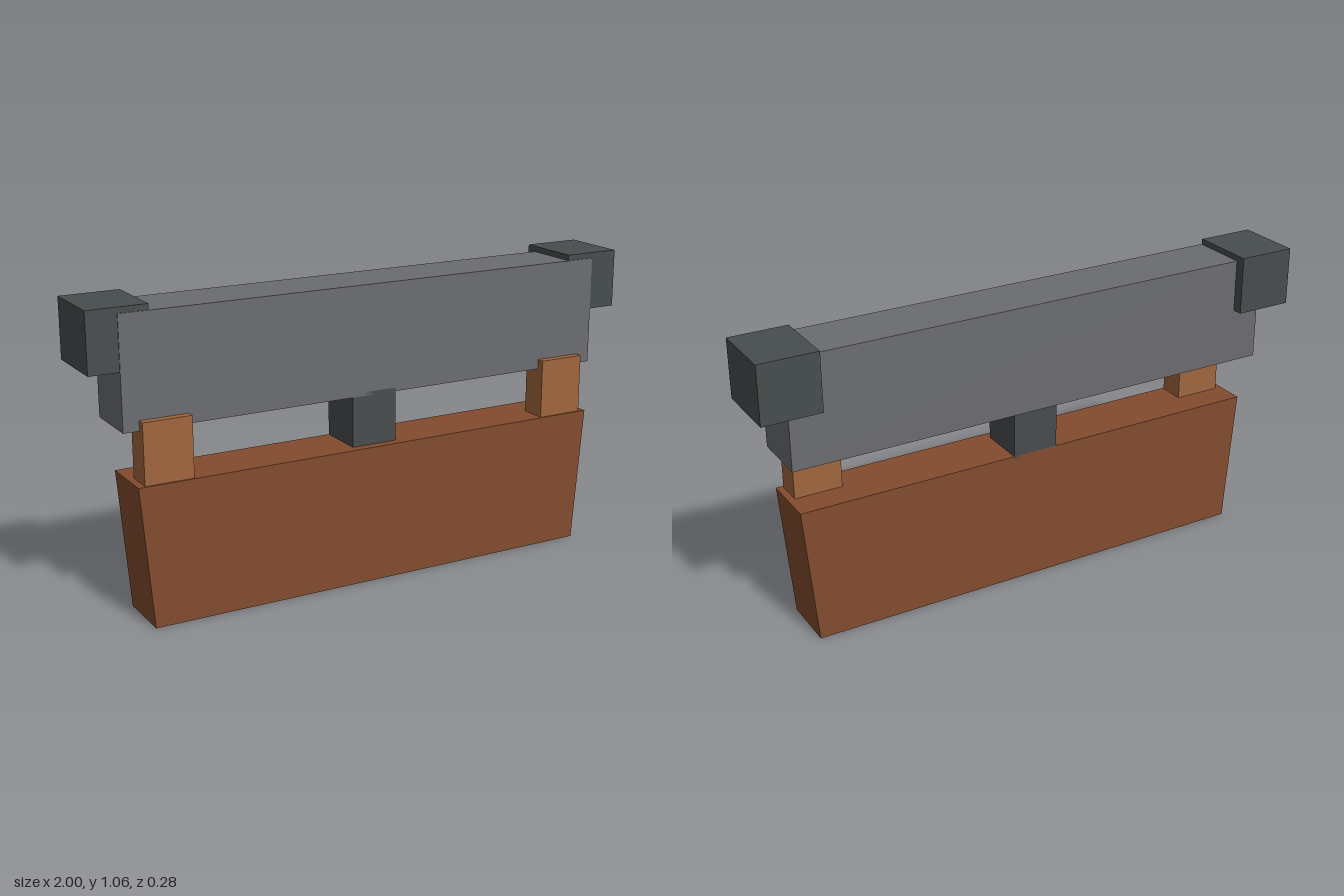
import * as THREE from 'three';

const material = (name, color) => {
  const m = new THREE.MeshStandardMaterial({ color });
  m.name = name;
  return m;
};

export function createModel() {
  const group = new THREE.Group();
  const darkWood = material('darkWood', 0x824b2e);
  const lightWood = material('lightWood', 0xa0653d);
  const darkMetal = material('darkMetal', 0x474c4d);
  const greyMetal = material('greyMetal', 0x6b6c70);

  const add = (name, geometry, mat) => {
    const mesh = new THREE.Mesh(geometry, mat);
    mesh.name = name;
    group.add(mesh);
  };
  // Box given by its limits on each axis
  const box = (name, mat, [x0, x1], [y0, y1], [z0, z1]) => {
    const g = new THREE.BoxGeometry(x1 - x0, y1 - y0, z1 - z0);
    g.translate((x0 + x1) / 2, (y0 + y1) / 2, (z0 + z1) / 2);
    add(name, g, mat);
  };

  // Wooden base, slightly wider at the top
  const outline = new THREE.Shape([
    new THREE.Vector2(-0.828, 0),
    new THREE.Vector2(0.828, 0),
    new THREE.Vector2(0.867, 0.483),
    new THREE.Vector2(-0.867, 0.483),
  ]);
  const base = new THREE.ExtrudeGeometry(outline, { depth: 0.204, bevelEnabled: false });
  base.translate(0, 0, -0.065);
  add('base', base, darkWood);

  // Long upper beam and the central support
  box('beam', greyMetal, [-0.897, 0.897], [0.657, 1.036], [-0.101, 0.106]);
  box('centreSupport', darkMetal, [-0.083, 0.083], [0.47, 0.67], [-0.065, 0.106]);

  // Side posts and end caps
  for (const [side, s] of [['left', 1], ['right', -1]]) {
    const span = (a, b) => (s > 0 ? [a, b] : [-b, -a]);
    box(side + 'Post', lightWood, span(0.675, 0.843), [0.47, 0.691], [0.038, 0.133]);
    box(side + 'EndCap', darkMetal, span(0.795, 1), [0.852, 1.056], [-0.138, 0.103]);
  }
  return group;
}
